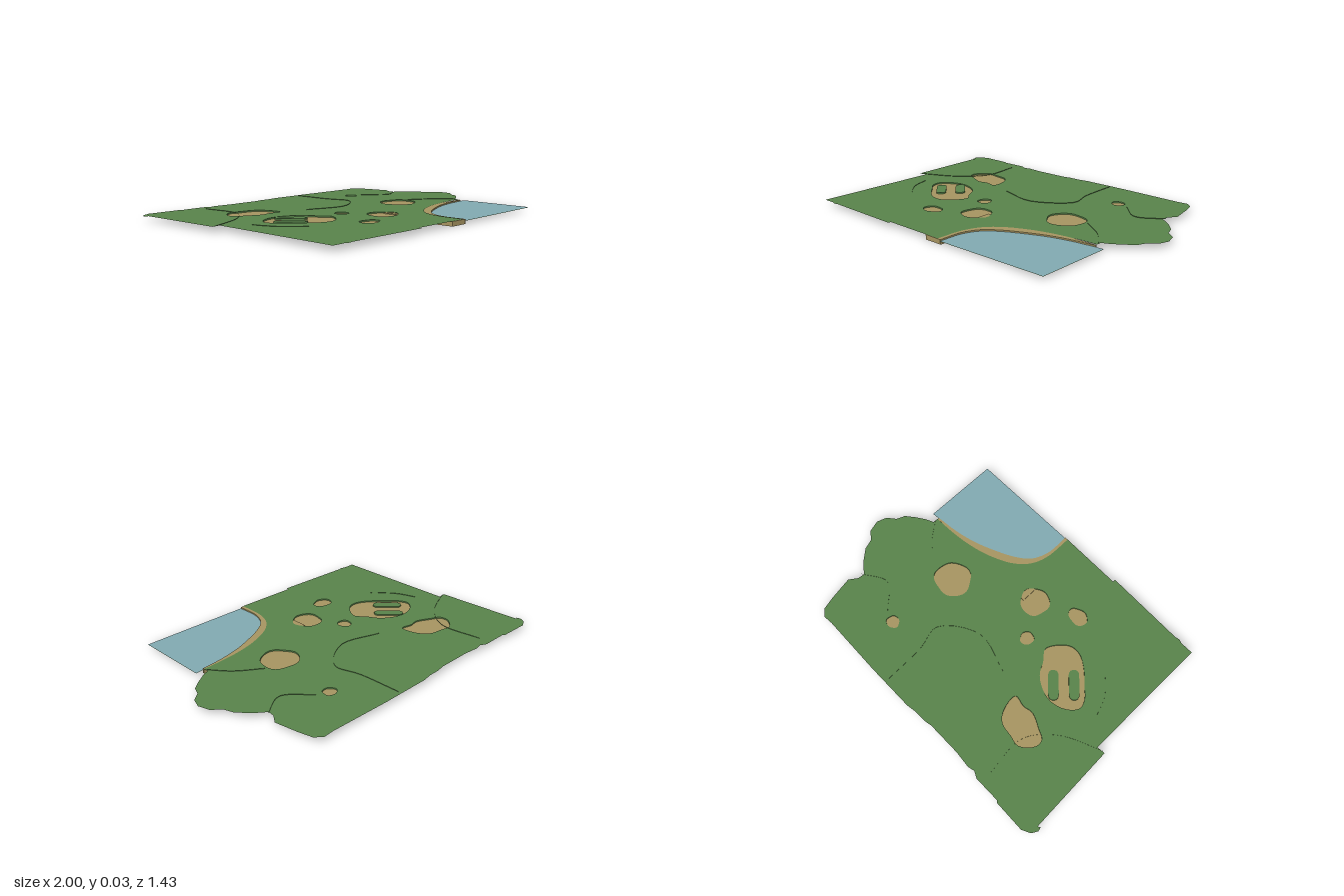
import * as THREE from 'three';

const TOP = 0.03, PATCH_Y = 0.022, WATER_Y = 0.02;

const grass = new THREE.MeshStandardMaterial({ color: 0x58824a, side: THREE.DoubleSide });
grass.name = 'grass green';
const sand = new THREE.MeshStandardMaterial({ color: 0xa69460, side: THREE.DoubleSide });
sand.name = 'sand tan';
const water = new THREE.MeshStandardMaterial({ color: 0x80a9b0 });
water.name = 'water blue';

// Points are [x, z] pairs on the ground plan.
const toV2 = pts => pts.map(([x, z]) => new THREE.Vector2(x, -z));

function sheet(name, pts, y, material, holes = []) {
  const shape = new THREE.Shape(toV2(pts));
  shape.holes = holes.map(h => new THREE.Path(toV2(h)));
  const geo = new THREE.ShapeGeometry(shape).rotateX(-Math.PI / 2).translate(0, y, 0);
  const mesh = new THREE.Mesh(geo, material);
  mesh.name = name;
  return mesh;
}

// Upright strip following a ground-plan line
function wall(name, pts, y0, y1, material) {
  const pos = [], idx = [];
  pts.forEach(([x, z], i) => {
    pos.push(x, y0, z, x, y1, z);
    if (i) {
      const a = 2 * i - 2;
      idx.push(a, a + 2, a + 3, a, a + 3, a + 1);
    }
  });
  const geo = new THREE.BufferGeometry();
  geo.setAttribute('position', new THREE.Float32BufferAttribute(pos, 3));
  geo.setIndex(idx);
  geo.computeVertexNormals();
  const mesh = new THREE.Mesh(geo, material);
  mesh.name = name;
  return mesh;
}

function smooth(pts, closed = false, n = 40) {
  const curve = new THREE.CatmullRomCurve3(pts.map(([x, z]) => new THREE.Vector3(x, 0, z)), closed);
  const out = curve.getPoints(n).map(p => [p.x, p.z]);
  if (closed) out.pop();
  return out;
}

// Slightly wobbly round patch
function blob(cx, cz, rx, rz, phase) {
  return Array.from({ length: 28 }, (_, i) => {
    const a = i / 28 * Math.PI * 2;
    const k = 1 + 0.04 * Math.sin(3 * a + phase) + 0.03 * Math.cos(5 * a - phase);
    return [cx + rx * k * Math.cos(a), cz + rz * k * Math.sin(a)];
  });
}

// Rounded slot lying on the diagonal
function slot(cx, cz, length, width) {
  const r = width / 2, h = length / 2 - r, out = [];
  for (let i = 0; i < 16; i++) {
    const a = -Math.PI / 2 + (i % 8) / 7 * Math.PI + (i < 8 ? 0 : Math.PI);
    const u = (i < 8 ? h : -h) + r * Math.cos(a), v = r * Math.sin(a);
    out.push([cx + (u - v) * Math.SQRT1_2, cz + (u + v) * Math.SQRT1_2]);
  }
  return out;
}

export function createModel() {
  const model = new THREE.Group();
  model.name = 'terrain';

  // Shore lines: grass edge and the bank's inner edge
  const grassShore = smooth([[0.095, 0.7], [0.1, 0.53], [0.135, 0.43], [0.21, 0.35],
    [0.35, 0.28], [0.48, 0.245], [0.61, 0.228], [0.755, 0.222]]);
  const waterShore = smooth([[0.115, 0.7], [0.117, 0.55], [0.16, 0.45], [0.24, 0.385],
    [0.35, 0.33], [0.48, 0.28], [0.61, 0.25], [0.755, 0.234]]);

  // Worn sand patches
  const patches = [
    smooth([[-0.67, -0.34], [-0.6, -0.41], [-0.53, -0.4], [-0.45, -0.385], [-0.4, -0.33],
      [-0.385, -0.22], [-0.46, -0.23], [-0.52, -0.22], [-0.61, -0.26], [-0.665, -0.29]], true),
    smooth([[-0.69, -0.01], [-0.64, -0.07], [-0.55, -0.1], [-0.46, -0.08], [-0.39, -0.03],
      [-0.35, 0.04], [-0.305, 0.1], [-0.34, 0.17], [-0.4, 0.22], [-0.47, 0.22],
      [-0.55, 0.17], [-0.62, 0.1], [-0.67, 0.05]], true),
    blob(-0.185, 0.07, 0.04, 0.042, 0),
    blob(-0.055, 0.265, 0.088, 0.087, 1),
    blob(-0.3, 0.38, 0.063, 0.047, 2),
    blob(0.39, 0.015, 0.113, 0.107, 3),
    blob(0.435, -0.425, 0.04, 0.037, 4),
  ];

  // Grass field with openings for the patches
  const outline = [
    [-1, -0.655], [-0.98, -0.69], [-0.93, -0.715], [-0.74, -0.71], [-0.73, -0.7], [-0.57, -0.7],
    [-0.53, -0.68], [-0.49, -0.69], [-0.39, -0.68], [-0.18, -0.68], [-0.13, -0.69], [-0.06, -0.69],
    [0, -0.7], [0.3, -0.7], [0.68, -0.69], [0.74, -0.695], [0.78, -0.66], [0.8, -0.58],
    [0.825, -0.44], [0.79, -0.39], [0.785, -0.35], [0.85, -0.3], [0.91, -0.23], [0.93, -0.17],
    [0.98, -0.13], [1, -0.06], [0.98, 0], [0.93, 0.04], [0.91, 0.09], [0.86, 0.13], [0.8, 0.17],
    [0.755, 0.19], ...grassShore.slice().reverse(), [-0.29, 0.695], [-0.29, 0.712], [-0.78, 0.698],
    [-0.81, 0.704], [-0.83, 0.695], [-0.91, 0.695], [-0.91, -0.1], [-0.96, -0.095],
    [-0.98, -0.64], [-0.995, -0.63],
  ];
  model.add(sheet('grassField', outline, TOP, grass, patches));

  // Sunken patch floors with grass rims
  patches.forEach(p => {
    model.add(sheet('sandPatch', p, PATCH_Y, sand));
    model.add(wall('patchRim', [...p, p[0]], PATCH_Y, TOP, grass));
  });

  // Two grass strips left standing in the large patch
  [[-0.572, 0.065], [-0.49, -0.02]].forEach(([x, z]) => {
    const s = slot(x, z, 0.18, 0.06);
    model.add(sheet('grassStrip', s, TOP, grass));
    model.add(wall('grassStripEdge', [...s, s[0]], PATCH_Y, TOP, grass));
  });

  // Low turf ridges
  [
    [[-0.95, -0.09], [-0.71, -0.21], [-0.585, -0.37], [-0.6, -0.63]],
    [[-0.23, -0.17], [0.02, -0.11], [0.23, -0.26], [0.2, -0.42], [0.19, -0.68]],
    [[0.51, -0.4], [0.65, -0.28], [0.8, -0.36]],
    [[0.52, -0.01], [0.66, 0.09], [0.75, 0.2]],
    [[-0.79, 0.01], [-0.74, 0.14], [-0.63, 0.26]],
  ].forEach(line => model.add(wall('turfRidge', smooth(line, false, 20), TOP, TOP + 0.003, grass)));

  // Hollow sand bank around the lake corner
  const bankTop = [[0, 0.697], [0, 0.224], [0.755, 0.224], ...waterShore.slice().reverse()];
  model.add(sheet('bankTop', bankTop, TOP - 0.002, sand));
  model.add(wall('bankShore', waterShore, 0, TOP - 0.002, sand));
  [
    [[0, 0.697], [0.115, 0.697]],
    [[0, 0.224], [0, 0.697]],
    [[0.755, 0.224], [0, 0.224]],
    [[0.755, 0.234], [0.755, 0.224]],
  ].forEach(side => model.add(wall('bankSide', side, 0, TOP - 0.002, sand)));

  // Lake surface over a green bed
  const lake = [...waterShore, [0.803, 0.23], [0.803, 0.697]];
  model.add(sheet('lakeSurface', lake, WATER_Y, water));
  model.add(sheet('lakeBed', lake, WATER_Y - 0.002, grass));

  return model;
}
